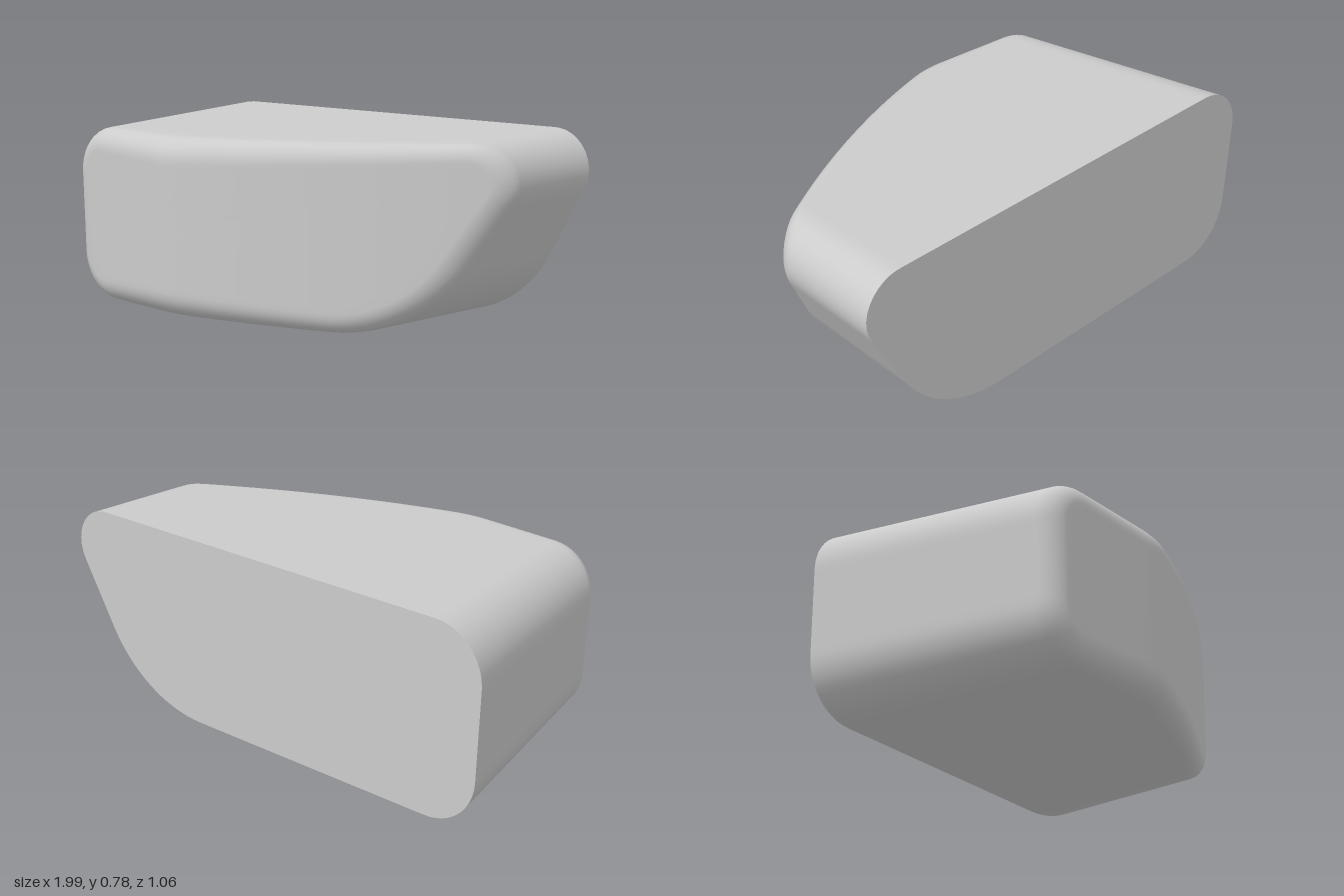
import * as THREE from 'three';

const BACK = -0.53;
const COUNT = 160; // points around the outline

// Polygon with tangent-arc corners; each corner is [x, y, tangent length]
function roundedOutline(corners) {
  const path = new THREE.Path();
  const n = corners.length;
  corners.forEach(([x, y, t], i) => {
    const c = new THREE.Vector2(x, y);
    const prev = corners[(i + n - 1) % n], next = corners[(i + 1) % n];
    const u = new THREE.Vector2(prev[0] - x, prev[1] - y).normalize();
    const v = new THREE.Vector2(next[0] - x, next[1] - y).normalize();
    const turn = Math.PI - Math.acos(u.dot(v));
    const k = (4 / 3) * Math.tan(turn / 4) / Math.tan(turn / 2);
    const at = (d, s) => c.clone().addScaledVector(d, s);
    const a = at(u, t), b = at(v, t), ca = at(u, t * (1 - k)), cb = at(v, t * (1 - k));
    if (i === 0) path.moveTo(a.x, a.y);
    else path.lineTo(a.x, a.y);
    path.bezierCurveTo(ca.x, ca.y, cb.x, cb.y, b.x, b.y);
  });
  path.closePath();
  return path.getSpacedPoints(COUNT).slice(0, COUNT);
}

// Depth of the front face: a gentle line blended into a swept-back curve
function frontZ(x) {
  const line = 0.557 + 0.105 * x;
  const sweep = 0.46 - 0.344 * x - 0.172 * x * x;
  const k = 0.025, h = Math.max(k - Math.abs(line - sweep), 0) / k;
  return Math.min(line, sweep) - h * h * k / 4;
}

// The body narrows toward the front, mostly on its right side
function taper(p, z) {
  const d = z - BACK;
  const slope = THREE.MathUtils.lerp(0.17, -0.03, (p.x + 1) / 2);
  return new THREE.Vector2(p.x + slope * d, 0.39 + (p.y - 0.39) * (1 - 0.096 * d));
}

const bevelSize = (x) => 0.1 - 0.032 * Math.abs(x + 0.25);

function meshFrom(name, positions, index, material) {
  const geometry = new THREE.BufferGeometry();
  geometry.setAttribute('position', new THREE.Float32BufferAttribute(positions, 3));
  geometry.setIndex(index);
  geometry.computeVertexNormals();
  const mesh = new THREE.Mesh(geometry, material);
  mesh.name = name;
  return mesh;
}

export function createModel() {
  const group = new THREE.Group();
  group.name = 'taperedHousing';
  const material = new THREE.MeshStandardMaterial({ color: 0xcccccc });

  const outline = roundedOutline([
    [-0.97, 0, 0.21], [0.678, 0, 0.325], [1.109, 0.78, 0.266], [-1, 0.78, 0.21],
  ]);
  const rings = [outline.map((p) => [p.x, p.y, BACK])];

  // Rim where the side walls meet the bevel
  const rim = outline.map((p) => {
    let q = p;
    for (let i = 0; i < 6; i++) q = taper(p, frontZ(q.x) - bevelSize(q.x));
    return q;
  });
  const inward = rim.map((p, i) => {
    const t = rim[(i + 1) % COUNT].clone().sub(rim[(i + COUNT - 1) % COUNT]).normalize();
    return new THREE.Vector2(-t.y, t.x);
  });

  // Side walls, then the rounded front edge
  for (const s of [0.5, 1]) {
    rings.push(outline.map((p, i) => {
      const z = THREE.MathUtils.lerp(BACK, frontZ(rim[i].x) - bevelSize(rim[i].x), s);
      const q = taper(p, z);
      return [q.x, q.y, z];
    }));
  }
  const STEPS = 8;
  for (let s = 1; s <= STEPS; s++) {
    const a = (s / STEPS) * Math.PI / 2;
    rings.push(rim.map((p, i) => {
      const d = bevelSize(p.x);
      const q = p.clone().addScaledVector(inward[i], d * (1 - Math.cos(a)));
      return [q.x, q.y, frontZ(q.x) - d * (1 - Math.sin(a))];
    }));
  }

  // Curved front face: rings shrinking to a centre
  const edge = rings[rings.length - 1];
  const cx = -0.05, cy = 0.42;
  for (let s = 1; s <= 14; s++) {
    const k = 1 - s / 14;
    rings.push(edge.map(([x, y]) => {
      const px = cx + (x - cx) * k;
      return [px, cy + (y - cy) * k, frontZ(px)];
    }));
  }
  const index = [];
  for (let r = 0; r < rings.length - 1; r++) {
    for (let i = 0; i < COUNT; i++) {
      const j = (i + 1) % COUNT;
      const a = r * COUNT + i, b = r * COUNT + j;
      index.push(a, b, b + COUNT);
      if (r < rings.length - 2) index.push(a, b + COUNT, a + COUNT);
    }
  }
  group.add(meshFrom('shell', rings.flat(2), index, material));

  // Flat back panel
  const backIndex = [];
  for (let i = 0; i < COUNT; i++) backIndex.push(COUNT, (i + 1) % COUNT, i);
  group.add(meshFrom('backPanel', [...rings[0].flat(), 0, 0.42, BACK], backIndex, material));

  return group;
}
